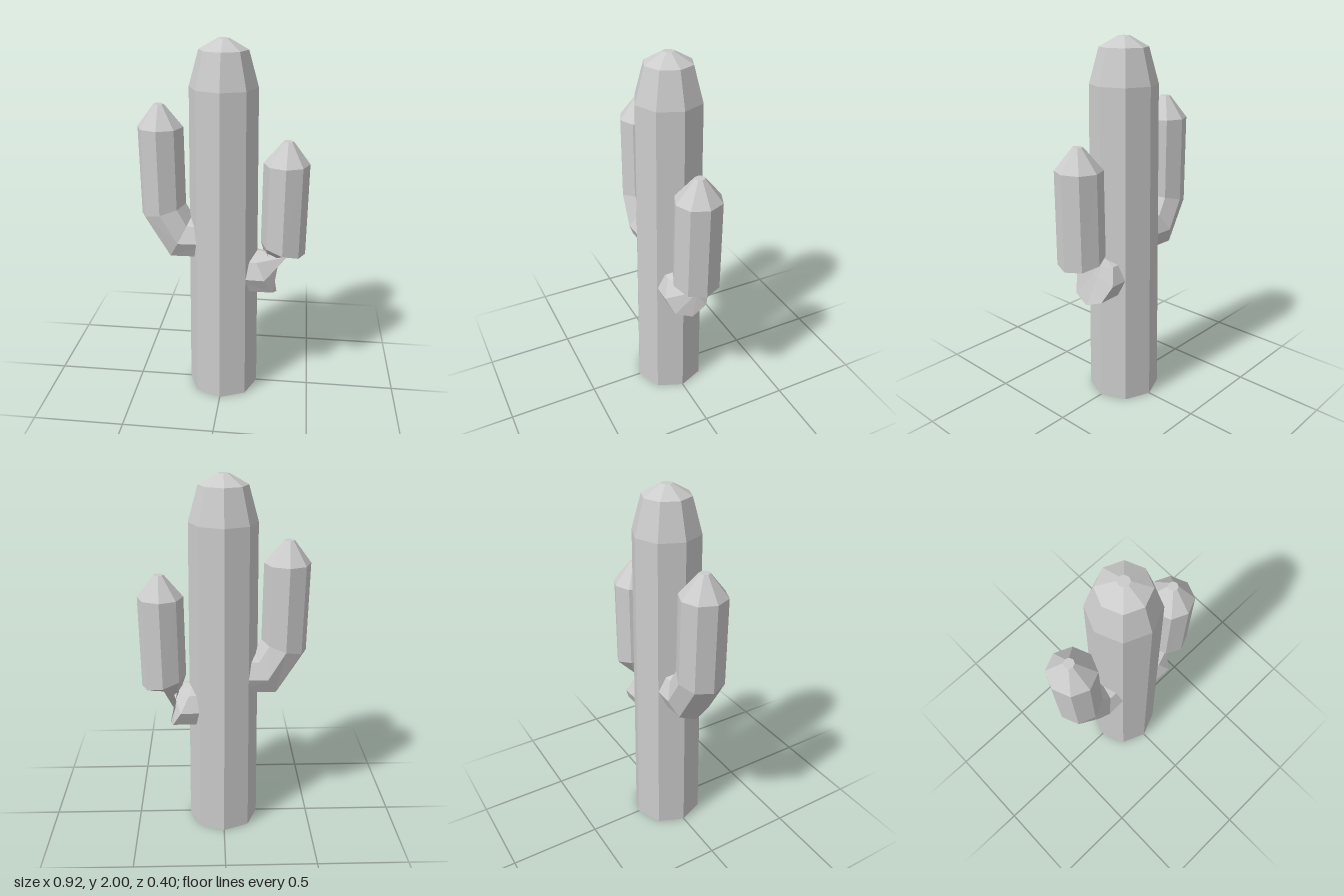
import * as THREE from 'three';

const SIDES = 8;
const material = new THREE.MeshStandardMaterial({ color: 0xcccccc, flatShading: true, side: THREE.DoubleSide });

// One octagonal ring: centre (x, y), outer direction (ux, uy), half depth rz
function ring([x, y, ux, uy, rz], side) {
  return Array.from({ length: SIDES }, (_, i) => {
    const a = (i / SIDES) * Math.PI * 2;
    return [side * (x + ux * Math.cos(a)), y + uy * Math.cos(a), rz * Math.sin(a)];
  });
}

// Skin consecutive rings; twists[k] shifts the corners of ring k against ring k + 1
function loft(sections, side, twists = {}) {
  const rings = sections.map((s) => ring(s, side));
  const pos = [];
  const tri = (a, b, c) => pos.push(...a, ...(side > 0 ? b : c), ...(side > 0 ? c : b));
  for (let k = 0; k < rings.length - 1; k++) {
    const t = twists[k] || 0;
    for (let i = 0; i < SIDES; i++) {
      const a = rings[k][(i + t) % SIDES], a2 = rings[k][(i + 1 + t) % SIDES];
      const b = rings[k + 1][i], b2 = rings[k + 1][(i + 1) % SIDES];
      tri(a, b, a2);
      tri(b, b2, a2);
    }
  }
  // Flat caps at both ends
  const first = rings[0], last = rings[rings.length - 1];
  for (let i = 1; i < SIDES - 1; i++) {
    tri(first[0], first[i], first[i + 1]);
    tri(last[0], last[i + 1], last[i]);
  }
  const geometry = new THREE.BufferGeometry();
  geometry.setAttribute('position', new THREE.Float32BufferAttribute(pos, 3));
  geometry.computeVertexNormals();
  return geometry;
}

// Arm: stub from the trunk, two bends, upright column and tapered tip
function arm(name, side, stubY, bendY, topY, twists) {
  const sections = [
    [0.08, stubY, 0, -0.125, 0.13],
    [0.237, stubY, 0.065, -0.125, 0.135],
    [0.33, bendY, 0.123, -0.032, 0.13],
    [0.335, topY - 0.12, 0.123, 0, 0.126],
    [0.34, topY, 0.027, 0, 0.027],
  ];
  const mesh = new THREE.Mesh(loft(sections, side, twists), material);
  mesh.name = name;
  return mesh;
}

export function createModel() {
  const group = new THREE.Group();
  group.name = 'cactus';

  // Trunk with a stepped, rounded top
  const profile = [[0, 0], [0.198, 0], [0.18, 1.76], [0.128, 1.945], [0.03, 2], [0, 2]];
  const trunk = new THREE.Mesh(
    new THREE.LatheGeometry(profile.map(([r, y]) => new THREE.Vector2(r, y)), SIDES), material);
  trunk.name = 'trunk';
  group.add(trunk);

  // Higher arm on -x, lower arm on +x with its elbow wrung into a narrow waist
  group.add(arm('rightArm', -1, 0.932, 1.088, 1.665));
  group.add(arm('leftArm', 1, 0.735, 0.882, 1.485, { 1: 3 }));
  return group;
}
